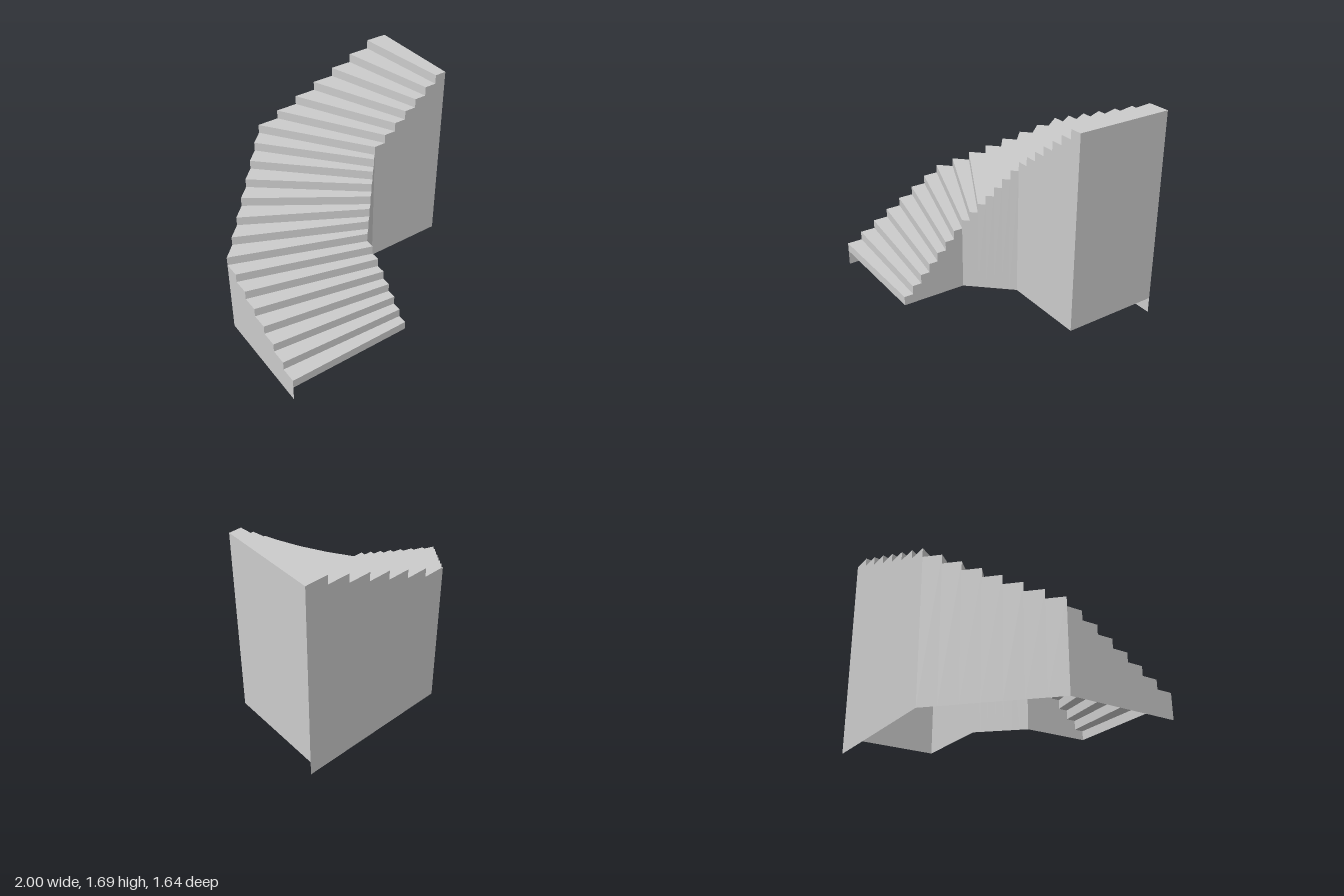
import * as THREE from 'three';

const PER_FLIGHT = 7;
const BASE = 0.13; // underside level of the steps and inner walls
const RISE = (1.69 - BASE) / 21;

// plan corners [x, z], from the foot of the stair to its head
const OUTER = [[-1, 0.82], [-1, -0.08], [-0.26, -0.82], [1, -0.82]];
const INNER = [[0.02, 0.82], [0.03, 0.295], [0.325, -0.025], [1, -0.03]];

// divide each straight run of a plan line into equal steps
function divide(corners) {
  const points = [corners[0]];
  for (let s = 0; s < corners.length - 1; s++) {
    const [a, b] = [corners[s], corners[s + 1]];
    for (let i = 1; i <= PER_FLIGHT; i++) {
      const t = i / PER_FLIGHT;
      points.push([a[0] + (b[0] - a[0]) * t, a[1] + (b[1] - a[1]) * t]);
    }
  }
  return points;
}

const at = ([x, z], y) => [x, y, z];

// mesh from four-cornered faces, counter-clockwise seen from outside
function quadMesh(name, quads, material) {
  const positions = [];
  for (const [a, b, c, d] of quads) positions.push(...a, ...b, ...c, ...a, ...c, ...d);
  const geometry = new THREE.BufferGeometry();
  geometry.setAttribute('position', new THREE.Float32BufferAttribute(positions, 3));
  geometry.computeVertexNormals();
  const mesh = new THREE.Mesh(geometry, material);
  mesh.name = name;
  return mesh;
}

export function createModel() {
  const group = new THREE.Group();
  group.name = 'turningStaircase';
  const material = new THREE.MeshStandardMaterial({
    color: 0xcccccc, flatShading: true, side: THREE.DoubleSide,
  });

  const outer = divide(OUTER);
  const inner = divide(INNER);
  const count = outer.length - 1;
  const treads = [], risers = [], outerWall = [], innerWall = [];

  for (let i = 0; i < count; i++) {
    const low = BASE + i * RISE;
    const top = low + RISE;
    const [o0, o1, n0, n1] = [outer[i], outer[i + 1], inner[i], inner[i + 1]];
    risers.push([at(o0, low), at(n0, low), at(n0, top), at(o0, top)]);
    treads.push([at(o0, top), at(n0, top), at(n1, top), at(o1, top)]);
    // outer wall reaches the ground, inner wall stops at the base level
    outerWall.push([at(o1, 0), at(o0, 0), at(o0, top), at(o1, top)]);
    innerWall.push([at(n0, BASE), at(n1, BASE), at(n1, top), at(n0, top)]);
  }

  // upright closing the head of the stair
  const head = BASE + count * RISE;
  const [o, n] = [outer[count], inner[count]];
  const endWall = [[at(n, BASE), at(o, BASE), at(o, head), at(n, head)]];

  group.add(
    quadMesh('treads', treads, material),
    quadMesh('risers', risers, material),
    quadMesh('outerWall', outerWall, material),
    quadMesh('innerWall', innerWall, material),
    quadMesh('endWall', endWall, material),
  );
  return group;
}
